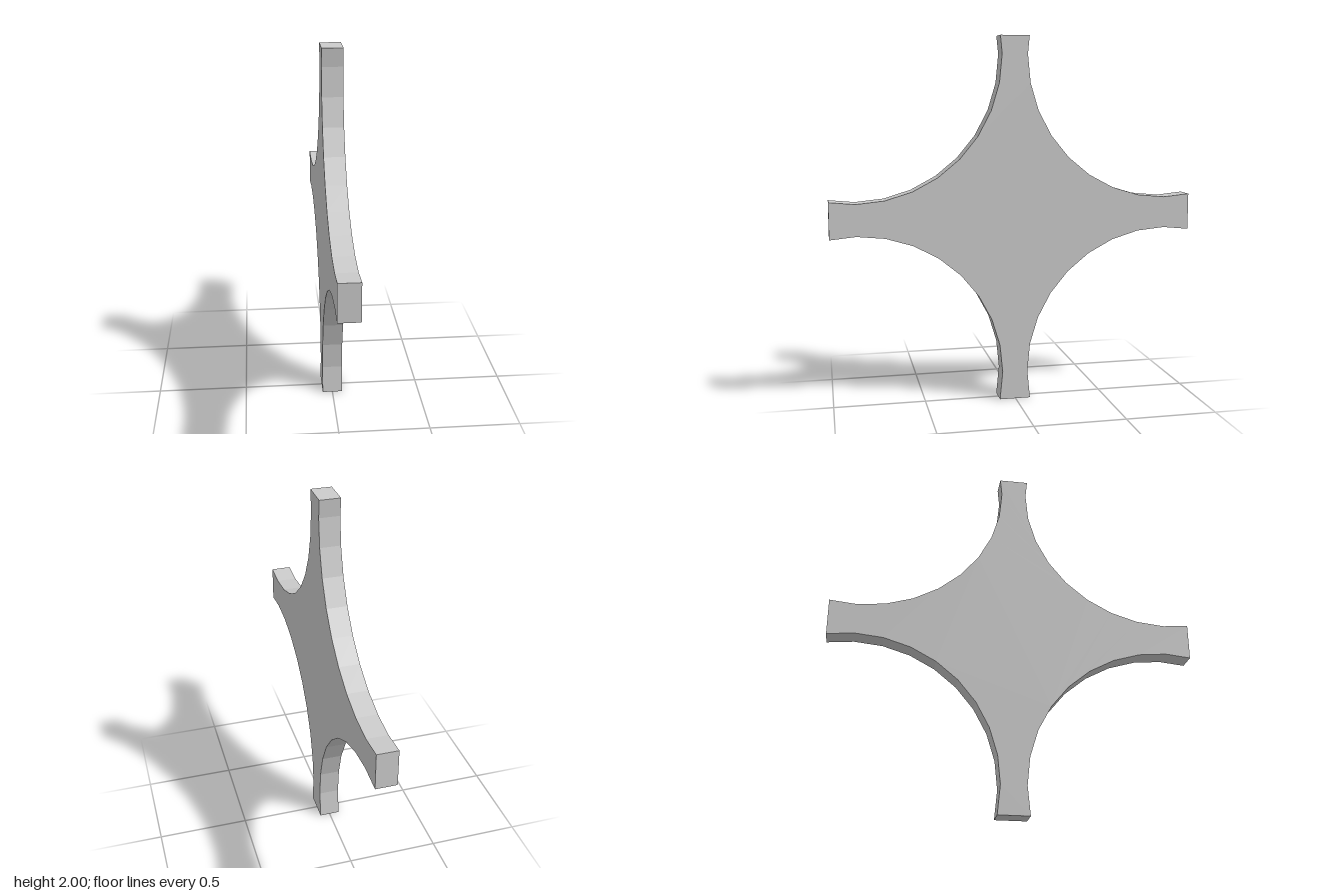
import * as THREE from 'three';

const RADIUS = 0.787, STEPS = 8, THICKNESS = 0.112;
const CENTRE = { z: 0.003, y: 1.03 };

// Slide the outer end of an arc along its last segment onto the straight end of the arm
function trimToArmEnd(end, inner) {
  const alongZ = Math.abs(end.x - inner.x) > Math.abs(end.y - inner.y);
  const t = alongZ
    ? (Math.sign(end.x) - inner.x) / (end.x - inner.x)
    : ((end.y > 1 ? 2 : 0) - inner.y) / (end.y - inner.y);
  return inner.clone().lerp(end, t);
}

// One concave faceted corner between two neighbouring arms
function cornerArc(quadrant) {
  const signZ = [1, -1, -1, 1][quadrant], signY = [1, 1, -1, -1][quadrant];
  const cz = CENTRE.z + signZ * 0.857, cy = CENTRE.y + signY * 0.873;
  const points = [];
  for (let k = -1; k <= STEPS + 1; k++) {
    const a = Math.PI / 2 * (3 + quadrant - k / STEPS);
    points.push(new THREE.Vector2(cz + RADIUS * Math.cos(a), cy + RADIUS * Math.sin(a)));
  }
  const n = points.length;
  points[0] = trimToArmEnd(points[0], points[1]);
  points[n - 1] = trimToArmEnd(points[n - 1], points[n - 2]);
  return points;
}

export function createModel() {
  const group = new THREE.Group();

  // Four-armed plate: outline drawn in z and y, thickness along x
  const outline = new THREE.Shape([0, 1, 2, 3].flatMap(cornerArc));
  const geometry = new THREE.ExtrudeGeometry(outline, { depth: THICKNESS, bevelEnabled: false });
  geometry.translate(0, 0, -THICKNESS / 2).rotateY(-Math.PI / 2);

  const plate = new THREE.Mesh(
    geometry,
    new THREE.MeshStandardMaterial({ color: 0xcccccc, flatShading: true })
  );
  plate.name = 'crossPlate';
  group.add(plate);
  return group;
}
